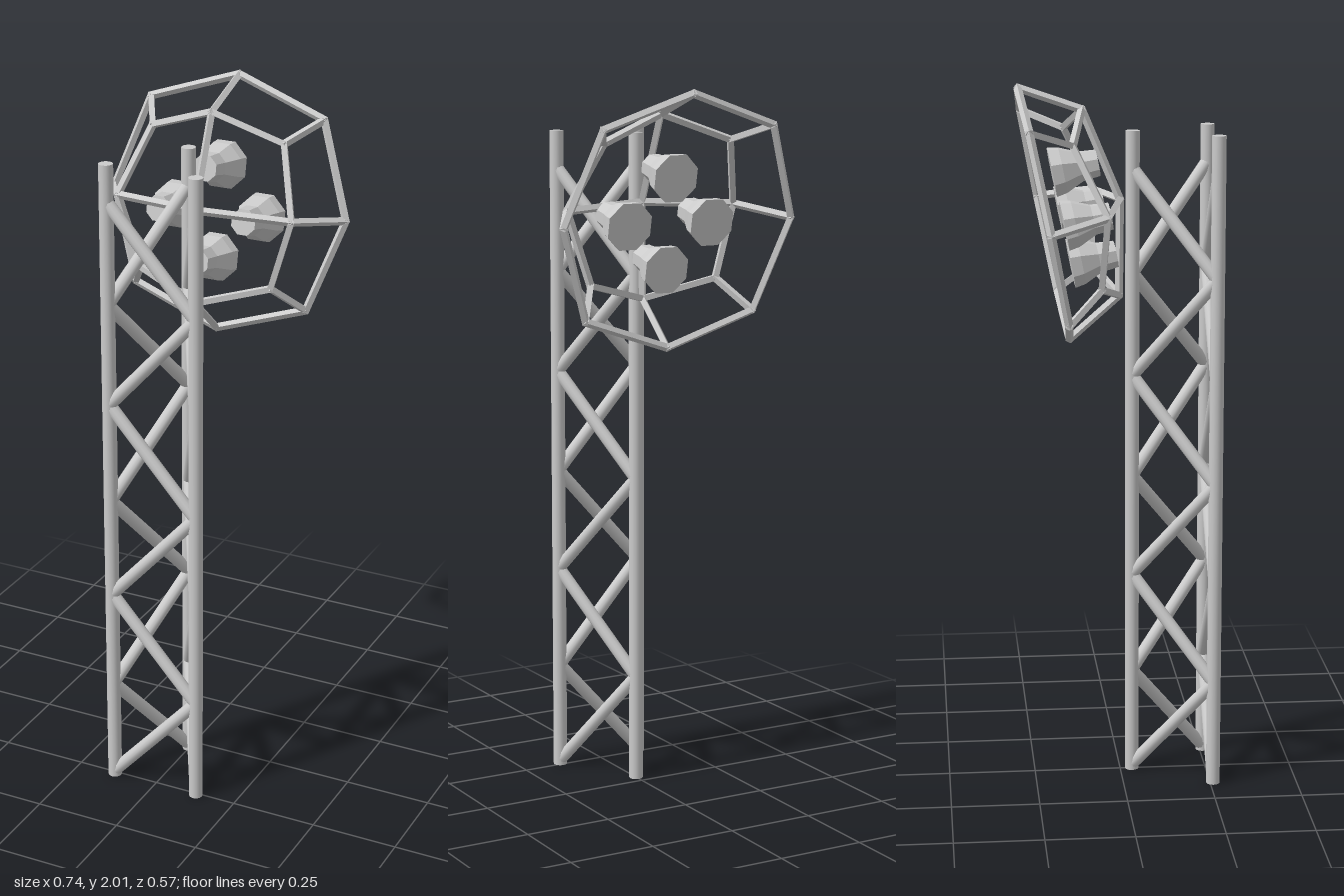
import * as THREE from 'three';

const smooth = new THREE.MeshStandardMaterial({ color: 0xcccccc });
const faceted = new THREE.MeshStandardMaterial({ color: 0xcccccc, flatShading: true });

// Round tube between two points
function tube(name, a, b, r) {
  const dir = b.clone().sub(a);
  const mesh = new THREE.Mesh(new THREE.CylinderGeometry(r, r, dir.length(), 12), smooth);
  mesh.name = name;
  mesh.position.copy(a).add(b).multiplyScalar(0.5);
  mesh.quaternion.setFromUnitVectors(new THREE.Vector3(0, 1, 0), dir.normalize());
  return mesh;
}

// Four-sided bar whose ridge points away from the cage centre
function cageBar(a, b, r) {
  const dir = b.clone().sub(a);
  const length = dir.length() + r;
  dir.normalize();
  const mid = a.clone().add(b).multiplyScalar(0.5);
  const side = dir.clone().cross(mid).normalize();
  const out = side.clone().cross(dir).normalize();
  const mesh = new THREE.Mesh(new THREE.CylinderGeometry(r, r, length, 4), faceted);
  mesh.name = 'cageBar';
  mesh.quaternion.setFromRotationMatrix(new THREE.Matrix4().makeBasis(side, dir, out));
  mesh.position.copy(mid);
  return mesh;
}

// Triangular lattice mast
function createMast() {
  const mast = new THREE.Group();
  mast.name = 'mast';
  const corners = [[-0.132, 0.258], [0.132, 0.258], [0, 0.034]];
  const at = (i, y) => new THREE.Vector3(corners[i % 3][0], y, corners[i % 3][1]);
  const height = 1.875, bays = 6, step = 0.293;
  for (let i = 0; i < 3; i++) {
    mast.add(tube('mastLeg', at(i, 0), at(i, height), 0.02));
    // one zigzag of braces per face
    for (let k = 0; k < bays; k++) {
      const from = i + (k % 2), to = i + ((k + 1) % 2);
      mast.add(tube('mastBrace', at(from, 0.012 + k * step), at(to, 0.012 + (k + 1) * step), 0.018));
    }
  }
  return mast;
}

// Flattened half dome of bars: open rim, 3 x 3 grid of points on its face
function createCage() {
  const cage = new THREE.Group();
  cage.name = 'cage';
  const R = 0.358, depth = 0.215, edge = 0.265, corner = 0.2;
  const rim = [], face = [];
  for (let i = 0; i < 8; i++) {
    const a = i * Math.PI / 4, odd = i % 2;
    const c = Math.cos(a), s = Math.sin(a);
    const r = odd ? corner * Math.SQRT2 : edge;
    rim.push(new THREE.Vector3(R * c * (odd ? 1.05 : 1), R * s * (odd ? 1.05 : 1), 0));
    face.push(new THREE.Vector3(r * c, r * s, odd ? 0.108 : 0.16));
  }
  const apex = new THREE.Vector3(0, 0, depth);
  for (let i = 0; i < 8; i++) {
    const next = (i + 1) % 8;
    cage.add(cageBar(rim[i], rim[next], 0.0115));
    cage.add(cageBar(face[i], face[next], 0.0115));
    cage.add(cageBar(rim[i], face[i], 0.0115));
    if (i % 2 === 0) cage.add(cageBar(face[i], apex, 0.0115));
  }
  return cage;
}

// Eight-sided lamp with its wide end towards -z
function createLamp(x, y) {
  const profile = [[0, 0.045], [0.071, 0.045], [0.066, 0.075], [0.043, 0.125], [0.038, 0.175], [0, 0.175]]
    .map(([r, h]) => new THREE.Vector2(r, h));
  const geometry = new THREE.LatheGeometry(profile, 8, Math.PI / 8);
  geometry.rotateX(Math.PI / 2);
  const lamp = new THREE.Mesh(geometry, faceted);
  lamp.name = 'lamp';
  lamp.position.set(x, y, 0);
  return lamp;
}

export function createModel() {
  const model = new THREE.Group();
  model.name = 'floodlightMast';
  model.add(createMast());

  // Tilted lamp head behind the mast
  const head = new THREE.Group();
  head.name = 'lampHead';
  head.position.set(0, 1.643, -0.212);
  head.rotation.x = -0.195;
  head.add(createCage());
  for (const [x, y] of [[0, 1], [1, 0], [0, -1], [-1, 0]]) {
    head.add(createLamp(x * 0.13, y * 0.13 - 0.018));
  }
  model.add(head);
  return model;
}
